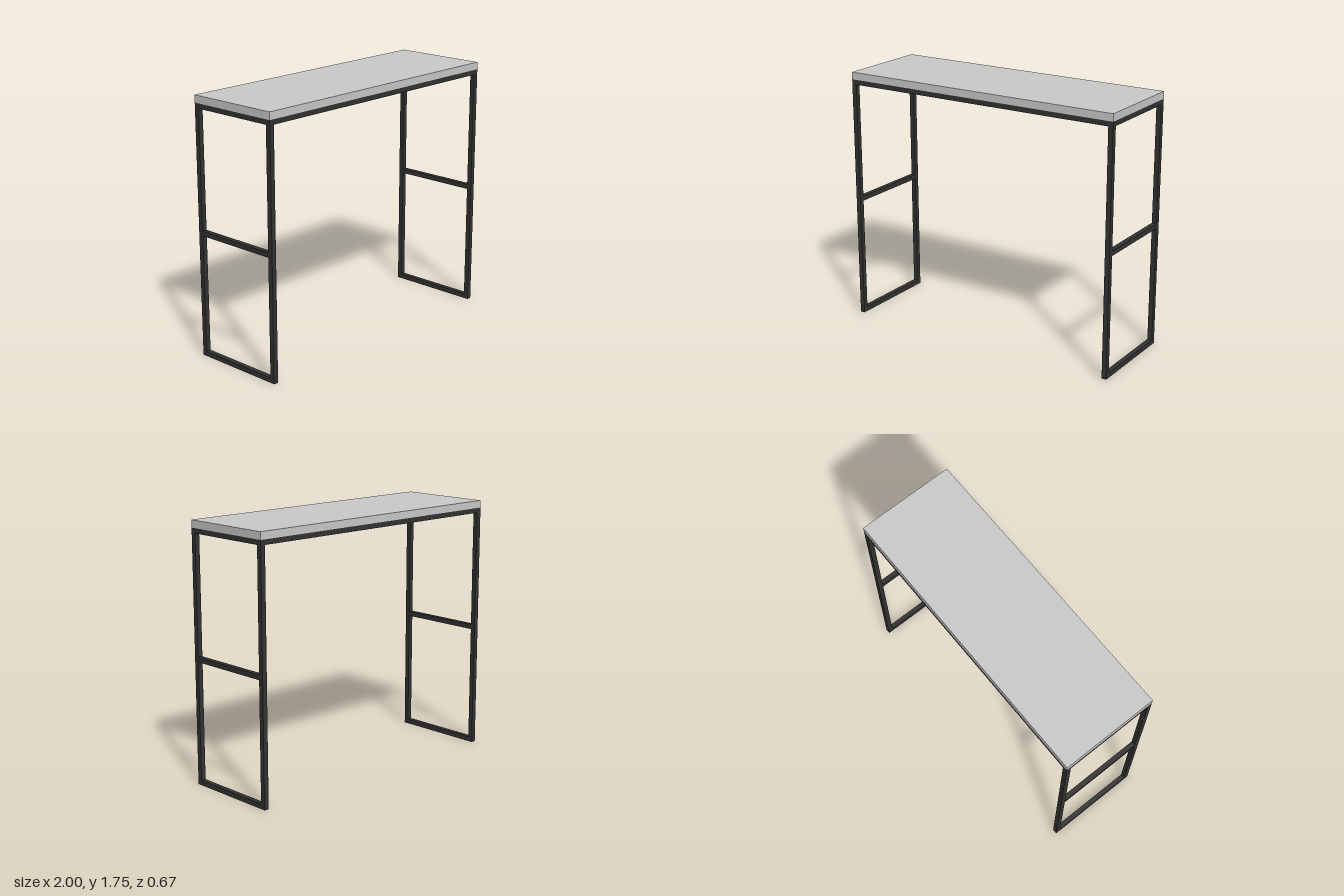
import * as THREE from 'three';

const W = 2, D = 0.667, H = 1.75; // overall size
const TOP = 0.05;                 // tabletop thickness
const T = 0.0333;                 // square tube size

export function createModel() {
  const model = new THREE.Group();
  model.name = 'highTable';
  const grey = new THREE.MeshStandardMaterial({ color: 0xcccccc });
  const dark = new THREE.MeshStandardMaterial({ color: 0x333333 });

  const box = (parent, name, size, pos, material = dark) => {
    const mesh = new THREE.Mesh(new THREE.BoxGeometry(...size), material);
    mesh.name = name;
    mesh.position.set(...pos);
    parent.add(mesh);
  };

  // Tabletop slab
  box(model, 'tabletop', [W, TOP, D], [0, H - TOP / 2, 0], grey);

  const frameH = H - TOP;
  const x = (W - T) / 2, z = (D - T) / 2;

  // Side frames: two legs joined by foot, middle and top bars
  for (const side of [-1, 1]) {
    const frame = new THREE.Group();
    frame.name = side > 0 ? 'leftFrame' : 'rightFrame';
    frame.position.x = side * x;
    model.add(frame);
    box(frame, 'frontLeg', [T, frameH, T], [0, frameH / 2, z]);
    box(frame, 'backLeg', [T, frameH, T], [0, frameH / 2, -z]);
    const bars = { footBar: T / 2, middleBar: frameH / 2, topBar: frameH - T / 2 };
    for (const [name, y] of Object.entries(bars)) {
      box(frame, name, [T, T, D - 2 * T], [0, y, 0]);
    }
  }

  // Long rails under the tabletop
  for (const side of [-1, 1]) {
    box(model, side > 0 ? 'frontRail' : 'backRail', [W - 2 * T, T, T], [0, frameH - T / 2, side * z]);
  }
  return model;
}
